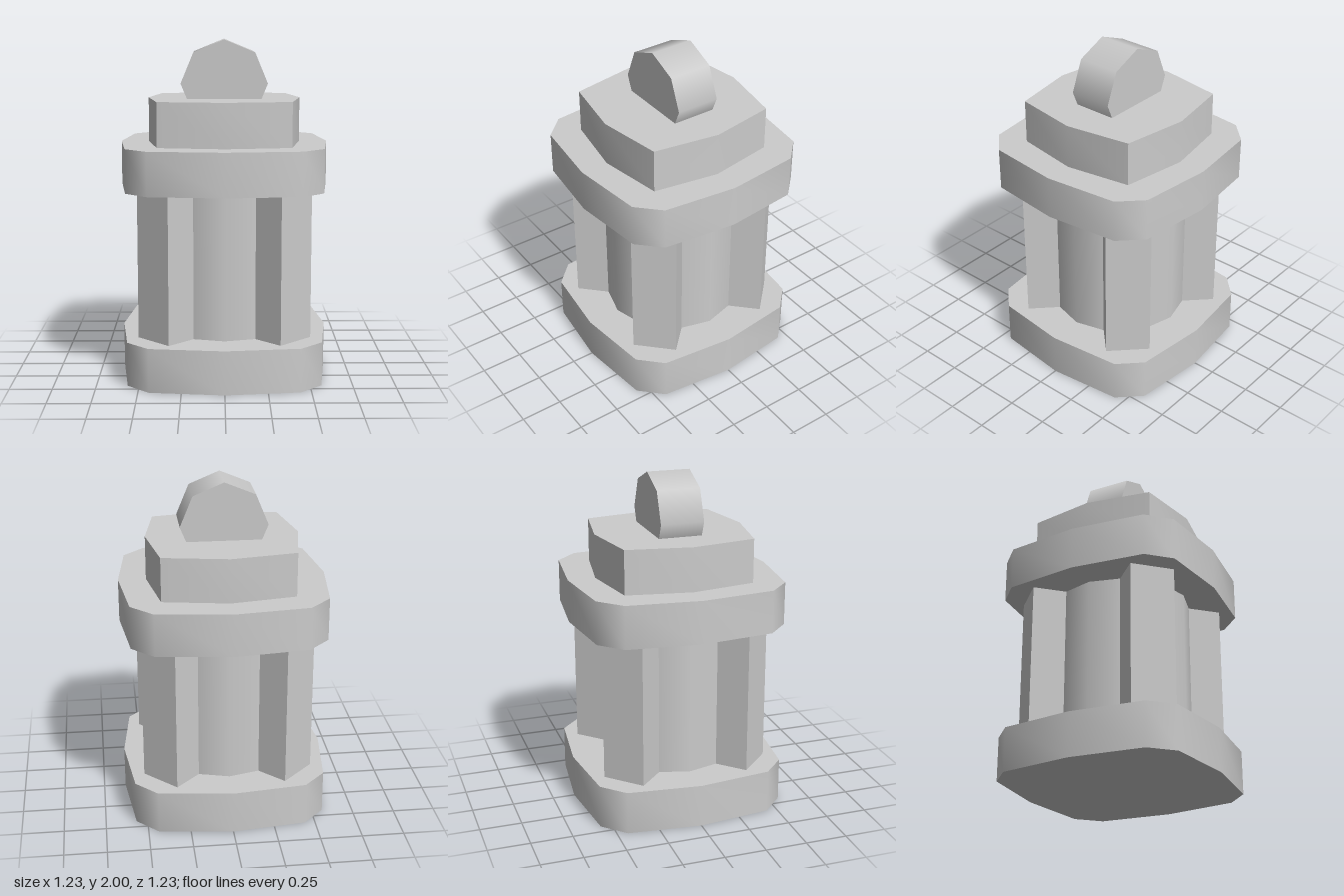
import * as THREE from 'three';
import { toCreasedNormals } from 'three/addons/utils/BufferGeometryUtils.js';

const material = new THREE.MeshStandardMaterial({ color: 0xcccccc });

function addMesh(parent, name, geometry) {
  const mesh = new THREE.Mesh(geometry, material);
  mesh.name = name;
  parent.add(mesh);
  return mesh;
}

// Horizontal slab: one quarter of the outline, turned four times round the y axis
function slabGeometry(quarter, height) {
  const points = [];
  for (let i = 0; i < 4; i++) {
    for (const [x, y] of quarter) {
      points.push(new THREE.Vector2(x, y).rotateAround(new THREE.Vector2(), i * Math.PI / 2));
    }
  }
  const geometry = new THREE.ExtrudeGeometry(new THREE.Shape(points), { depth: height, bevelEnabled: false });
  geometry.rotateX(-Math.PI / 2);
  return toCreasedNormals(geometry, 0.9);
}

export function createModel() {
  const model = new THREE.Group();
  model.name = 'lantern';

  // Base and roof share one bulging outline with cut corners
  const wide = [[0.617, 0], [0.567, 0.438], [0.438, 0.567]];
  addMesh(model, 'base', slabGeometry(wide, 0.26));
  addMesh(model, 'roof', slabGeometry(wide, 0.255)).position.y = 1.137;

  // Smaller cap with sharp corners
  const narrow = [[0.452, 0], [0.387, 0.387]];
  addMesh(model, 'cap', slabGeometry(narrow, 0.262)).position.y = 1.392;

  // Round core between base and roof
  const bodyHeight = 0.877;
  const bodyY = 0.26 + bodyHeight / 2;
  addMesh(model, 'core', new THREE.CylinderGeometry(0.415, 0.415, bodyHeight, 12)).position.y = bodyY;

  // Four posts set diagonally at the corners
  const posts = new THREE.Group();
  posts.name = 'posts';
  model.add(posts);
  for (let i = 0; i < 4; i++) {
    const geometry = new THREE.BoxGeometry(0.262, bodyHeight, 0.287);
    geometry.translate(0, bodyY, 0.4435);
    addMesh(posts, 'post', geometry).rotation.y = Math.PI / 4 + i * Math.PI / 2;
  }

  // Eight-sided knob lying front to back, partly sunk into the cap
  const knob = new THREE.CylinderGeometry(0.257, 0.257, 0.26, 8);
  knob.rotateX(Math.PI / 2);
  addMesh(model, 'knob', knob).position.y = 1.743;

  return model;
}
